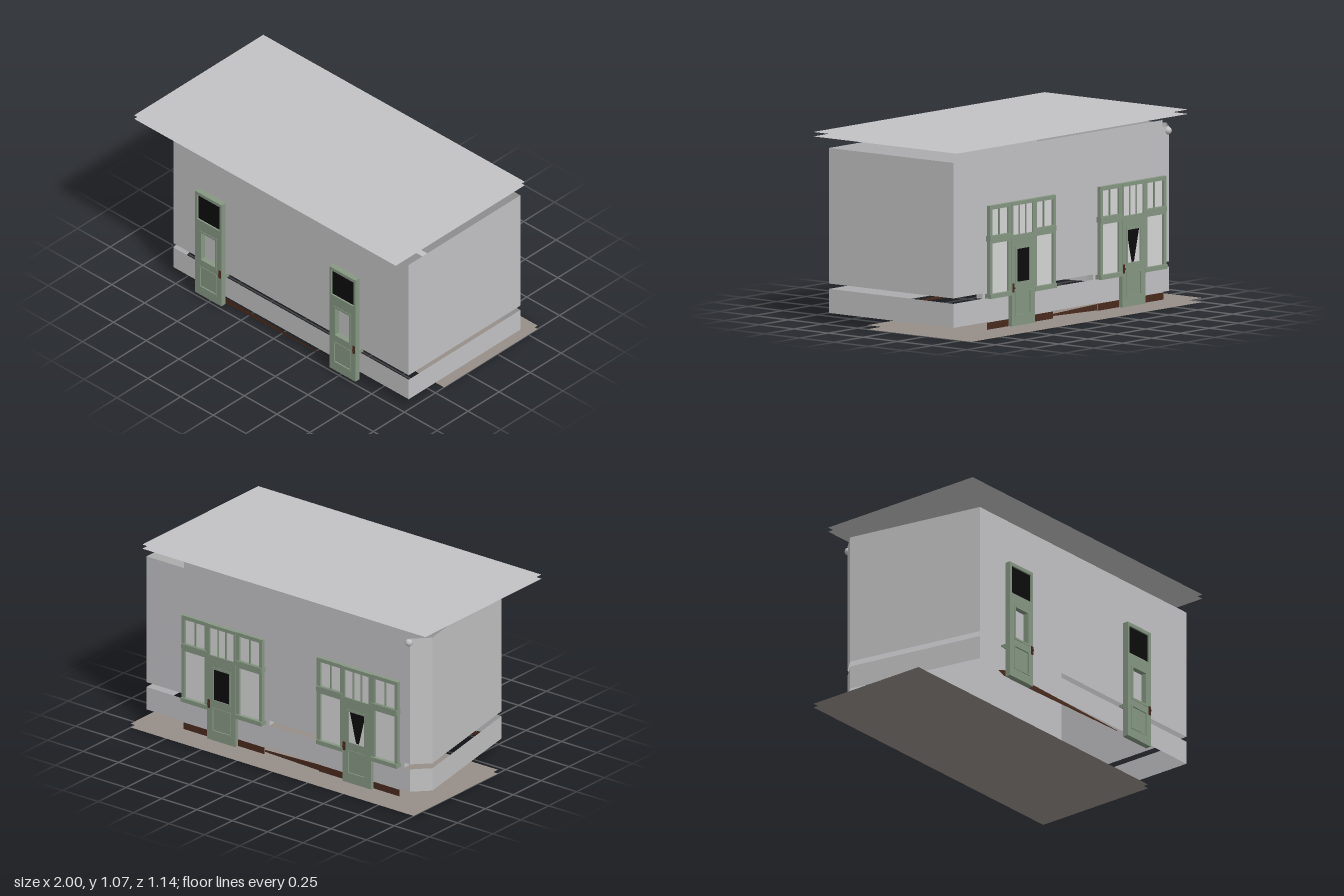
import * as THREE from 'three';

const mat = (name, color, side = THREE.FrontSide) => {
  const m = new THREE.MeshStandardMaterial({ color, side });
  m.name = name;
  return m;
};

export function createModel() {
  const stone = mat('wallGrey', 0xc2c2c4, THREE.DoubleSide);
  const paving = mat('pavingTaupe', 0x968f89, THREE.DoubleSide);
  const green = mat('sageGreen', 0x869883);
  const black = mat('darkGlass', 0x0c0c0d, THREE.DoubleSide);
  const curtain = mat('curtainWhite', 0xd6d6d6, THREE.DoubleSide);
  const brown = mat('brown', 0x4a2a1e, THREE.DoubleSide);

  const root = new THREE.Group();
  const add = (parent, name, geo, m, x = 0, y = 0, z = 0) => {
    const mesh = new THREE.Mesh(geo, m);
    mesh.name = name;
    mesh.position.set(x, y, z);
    parent.add(mesh);
    return mesh;
  };
  // Box given by its limits
  const box = (parent, name, m, x0, x1, y0, y1, z0, z1) =>
    add(parent, name, new THREE.BoxGeometry(x1 - x0, y1 - y0, z1 - z0), m,
      (x0 + x1) / 2, (y0 + y1) / 2, (z0 + z1) / 2);
  // Flat upright panel
  const panel = (parent, name, m, x0, x1, y0, y1, z) =>
    add(parent, name, new THREE.PlaneGeometry(x1 - x0, y1 - y0), m, (x0 + x1) / 2, (y0 + y1) / 2, z);
  // Flat polygon
  const plate = (parent, name, m, pts, z) =>
    add(parent, name, new THREE.ShapeGeometry(new THREE.Shape(pts.map(p => new THREE.Vector2(...p)))), m, 0, 0, z);
  // Rectangular board with rectangular openings [x0, x1, y0, y1]
  const board = (parent, name, m, [x0, x1, y0, y1], holes, z0, z1) => {
    const rect = (C, a, b, c, d) => {
      const s = new C();
      s.moveTo(a, c); s.lineTo(b, c); s.lineTo(b, d); s.lineTo(a, d); s.closePath();
      return s;
    };
    const s = rect(THREE.Shape, x0, x1, y0, y1);
    holes.forEach(h => s.holes.push(rect(THREE.Path, ...h)));
    return add(parent, name, new THREE.ExtrudeGeometry(s, { depth: z1 - z0, bevelEnabled: false }), m, 0, 0, z0);
  };
  const frame = (parent, name, [a, b, c, d], t, z0, z1) =>
    board(parent, name, green, [a, b, c, d], [[a + t, b - t, c + t, d - t]], z0, z1);

  // Roof and pavement, each a pair of thin sheets
  const sheet = (name, m, y, z0, z1) =>
    add(root, name, new THREE.PlaneGeometry(2, z1 - z0).rotateX(-Math.PI / 2), m, 0, y, (z0 + z1) / 2);
  sheet('roofTop', stone, 1.07, -0.47, 0.57);
  sheet('roofUnderside', stone, 1.045, -0.47, 0.57);
  sheet('pavementTop', paving, 0.023, -0.575, 0.18);
  sheet('pavementUnderside', paving, 0, -0.575, 0.18);

  // Walls follow a footprint with one cut corner and a slanted side
  const foot = [[-0.805, 0.46], [0.995, 0.46], [0.995, -0.44], [-0.868, -0.44], [-0.955, -0.35]];
  const walls = (name, y0, y1) => foot.forEach(([x, z], i) => {
    const [x2, z2] = foot[(i + 1) % foot.length];
    const w = add(root, name, new THREE.PlaneGeometry(Math.hypot(x2 - x, z2 - z), y1 - y0), stone,
      (x + x2) / 2, (y0 + y1) / 2, (z + z2) / 2);
    w.rotation.y = Math.atan2(z - z2, x2 - x);
  });
  walls('lowerWall', 0.065, 0.2);
  walls('upperWall', 0.23, 0.99);
  panel(root, 'cornice', stone, -0.805, 0.725, 0.99, 1.03, -0.445);
  add(root, 'cornerCap', new THREE.SphereGeometry(0.022, 12, 8), stone, -0.86, 0.965, -0.44);

  // Panelled door with transom, facing +z
  function door(name, cx, z0, z1, back, handleSide) {
    const g = new THREE.Group();
    g.name = name;
    const win = [-0.06, 0.06, 0.265, 0.46], top = [-0.085, 0.085, 0.535, 0.7];
    const low = [-0.06, 0.06, 0.085, 0.215];
    board(g, 'doorLeaf', green, [-0.1, 0.1, 0.025, 0.72], [win, top, low], z0, z1);
    frame(g, 'windowTrim', [-0.067, 0.067, 0.258, 0.467], 0.012, z1 - 0.002, z1 + 0.003);
    frame(g, 'lowerTrim', [-0.067, 0.067, 0.078, 0.222], 0.008, z1 - 0.002, z1 + 0.003);
    box(g, 'lowerPanel', green, -0.06, 0.06, 0.085, 0.215, z0, z1 - 0.006);
    const pz = z1 - 0.01;
    panel(g, 'transomPane', back ? curtain : black, ...top, pz);
    box(g, 'handlePlate', brown, handleSide * 0.088 - 0.008, handleSide * 0.088 + 0.008, 0.215, 0.265, z1, z1 + 0.004);
    box(g, 'knob', brown, handleSide * 0.088 - 0.004, handleSide * 0.088 + 0.004, 0.236, 0.244, z1, z1 + 0.012);
    g.position.x = cx;
    root.add(g);
    return { g, win, pz };
  }

  // Front doors
  for (const cx of [-0.495, 0.53]) {
    const { g } = door('frontDoor', cx, 0.47, 0.505, false, 1);
    box(g, 'rearLedge', green, -0.1, 0.1, 0.2, 0.225, 0.44, 0.47);
  }

  // Rear entrances: door between two tall windows
  for (const cx of [-0.52, 0.435]) {
    const { g, win, pz } = door('rearDoor', cx, 0.452, 0.478, true, -1);
    g.rotation.y = Math.PI;
    if (cx > 0) panel(g, 'doorGlass', black, ...win, pz);
    else {
      panel(g, 'doorGlass', curtain, ...win, pz);
      plate(g, 'glassWedge', black, [[-0.055, 0.455], [-0.01, 0.27], [0.01, 0.27], [0.055, 0.455]], pz + 0.002);
    }
    for (const x of [-0.028, 0.028]) box(g, 'transomBar', green, x - 0.004, x + 0.004, 0.535, 0.7, 0.465, 0.474);
    for (const s of [-1, 1]) {
      const a = s < 0 ? -0.285 : 0.1, b = a + 0.185;
      frame(g, 'lowerWindowFrame', [a, b, 0.2, 0.53], 0.022, 0.452, 0.474);
      frame(g, 'upperWindowFrame', [a, b, 0.53, 0.72], 0.022, 0.452, 0.474);
      panel(g, 'lowerCurtain', curtain, a + 0.02, b - 0.02, 0.22, 0.51, 0.46);
      panel(g, 'upperCurtain', curtain, a + 0.02, b - 0.02, 0.55, 0.7, 0.46);
      const m = (a + b) / 2;
      box(g, 'upperBar', green, m - 0.004, m + 0.004, 0.55, 0.7, 0.46, 0.468);
      box(g, 'windowSill', green, a, b, 0.2, 0.225, 0.44, 0.482);
      box(g, 'middleRail', green, a, b, 0.52, 0.55, 0.445, 0.48);
      panel(g, 'stallBase', stone, a, b, 0.065, 0.2, 0.455);
      panel(g, 'kickBoard', brown, a, b, 0.025, 0.065, 0.455);
    }
    box(g, 'innerSill', stone, -0.31, 0.31, 0.2, 0.23, 0.4, 0.44);
  }

  // Tapering brown base strips between the doors, front and rear
  plate(root, 'frontBaseStrip', brown, [[-0.655, 0.045], [-0.6, 0.027], [-0.395, 0.027], [0.38, 0.043], [0.38, 0.047], [-0.395, 0.063], [-0.6, 0.063]], 0.467);
  plate(root, 'rearBaseStrip', brown, [[-0.235, 0.027], [0.15, 0.038], [0.15, 0.05], [-0.235, 0.063]], -0.45);

  // Small dark ceiling fittings
  for (const x of [-0.46, 0.49])
    box(root, 'ceilingFitting', black, x - 0.03, x + 0.03, 1.033, 1.039, -0.003, 0.055);

  return root;
}
